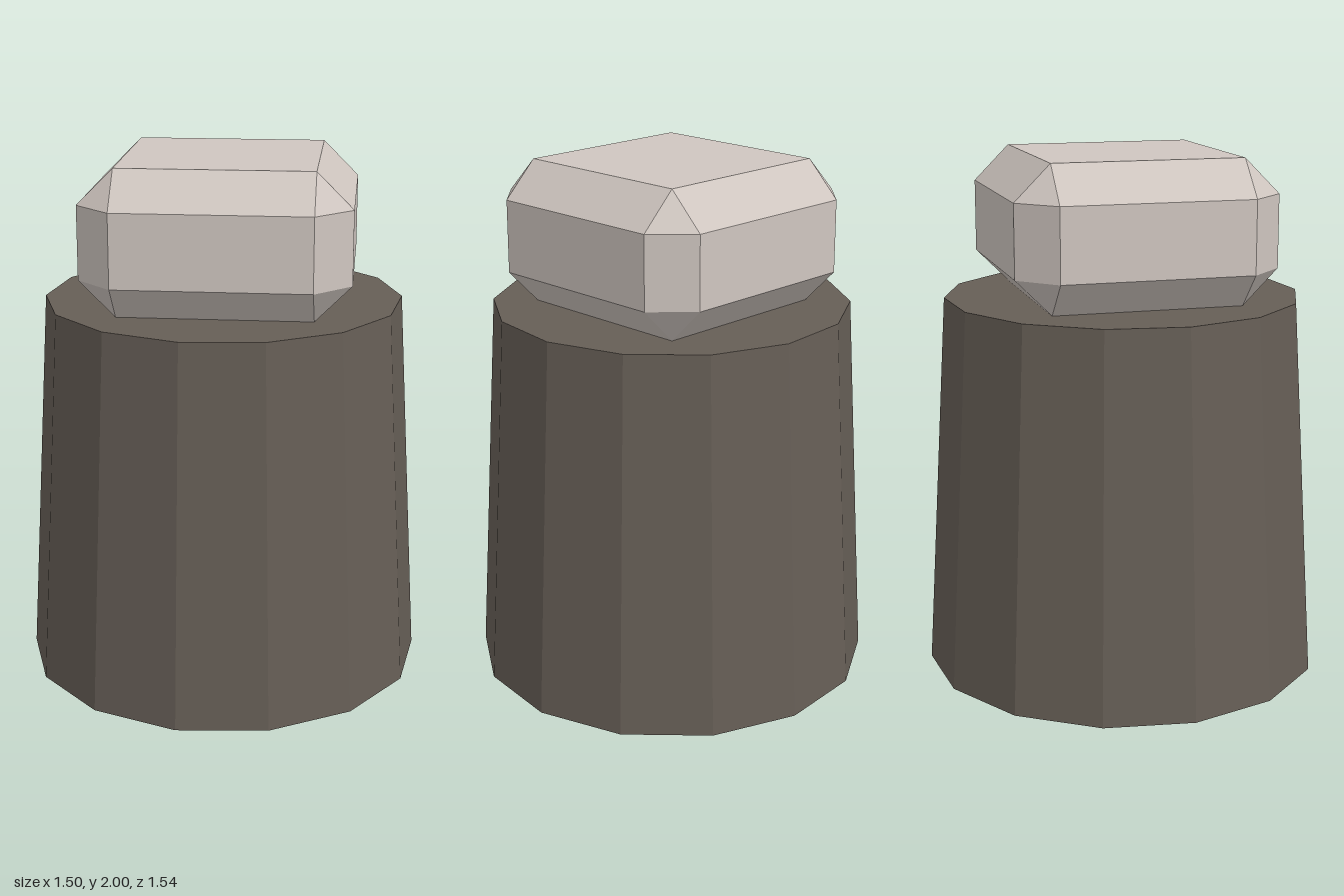
import * as THREE from 'three';
import { ConvexGeometry } from 'three/addons/geometries/ConvexGeometry.js';

const BASE_HEIGHT = 1.455;

// Box with every edge and corner cut off: each corner leaves one point per face it touches.
function chamferedBox(w, h, d, bevel) {
  const x = w / 2, y = h / 2, z = d / 2;
  const points = [];
  for (const sx of [-1, 1]) for (const sy of [-1, 1]) for (const sz of [-1, 1]) {
    points.push(
      new THREE.Vector3(sx * x, sy * (y - bevel), sz * (z - bevel)),
      new THREE.Vector3(sx * (x - bevel), sy * y, sz * (z - bevel)),
      new THREE.Vector3(sx * (x - bevel), sy * (y - bevel), sz * z),
    );
  }
  return new ConvexGeometry(points);
}

export function createModel() {
  const darkStone = new THREE.MeshStandardMaterial({ color: 0x665e56, flatShading: true });
  darkStone.name = 'dark stone';
  const paleStone = new THREE.MeshStandardMaterial({ color: 0xcfc6c0, flatShading: true });
  paleStone.name = 'pale stone';

  const model = new THREE.Group();
  model.name = 'post';

  // Tapered fourteen-sided post
  const base = new THREE.Mesh(new THREE.CylinderGeometry(0.682, 0.77, BASE_HEIGHT, 14), darkStone);
  base.name = 'postBody';
  base.position.y = BASE_HEIGHT / 2;
  model.add(base);

  // Bevelled cap block, turned slightly on the post
  const capHeight = 2 - BASE_HEIGHT;
  const cap = new THREE.Mesh(chamferedBox(0.994, capHeight, 0.994, 0.135), paleStone);
  cap.name = 'capBlock';
  cap.position.y = BASE_HEIGHT + capHeight / 2;
  cap.rotation.y = THREE.MathUtils.degToRad(8);
  model.add(cap);

  return model;
}
